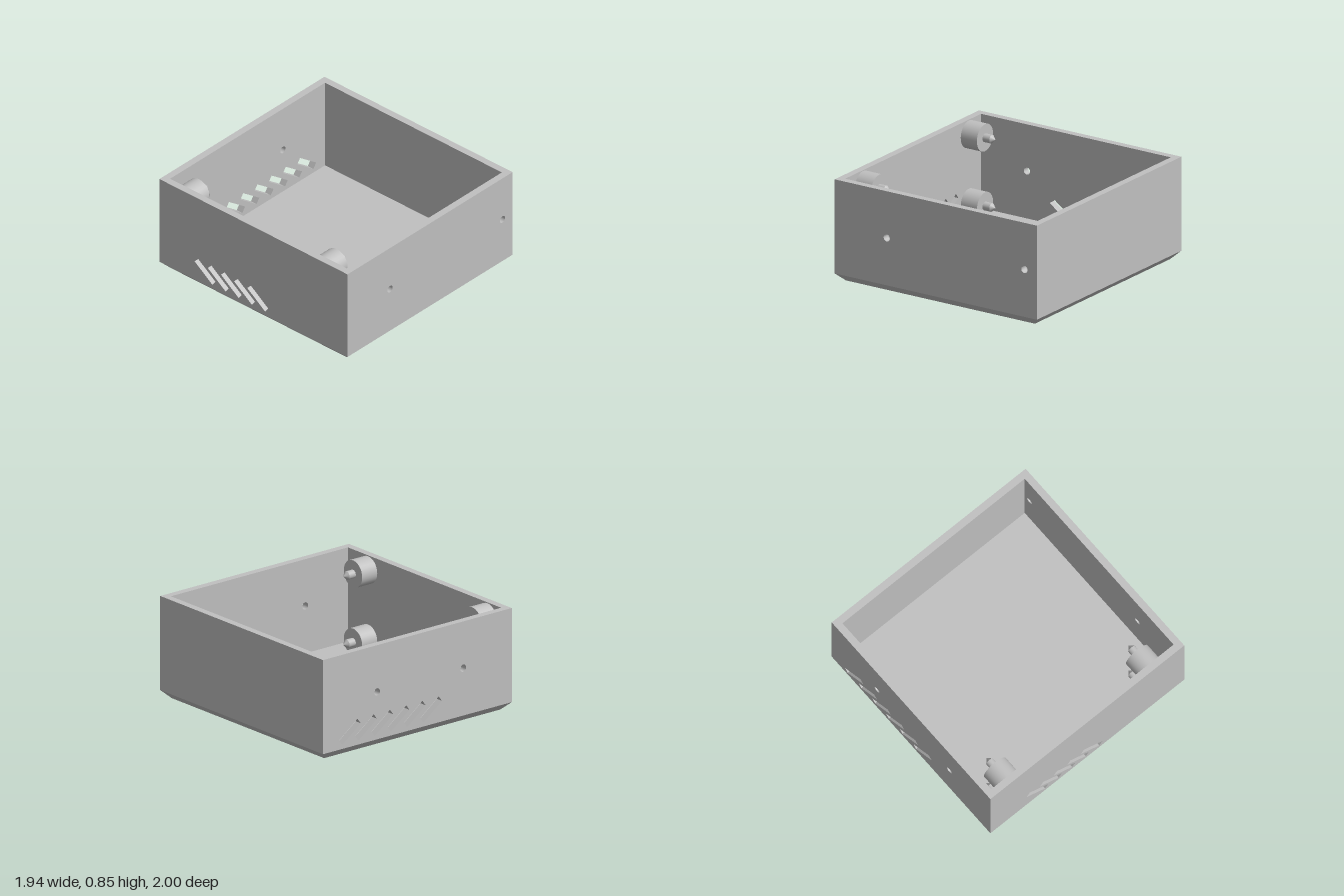
import * as THREE from 'three';

const W = 0.97, D = 1.0, H = 0.85, T = 0.06, BASE = 0.064;

const grey = new THREE.MeshStandardMaterial({ color: 0xc0c0c0 });
grey.name = 'light grey';

function mesh(name, geometry) {
  const m = new THREE.Mesh(geometry, grey);
  m.name = name;
  return m;
}

// round cable hole
function roundHole(x, y) {
  return new THREE.Path().absarc(x, y, 0.03, 0, Math.PI * 2, true);
}

// slanted vent slot, rising towards negative x
function slotHole(x, y) {
  const a = Math.PI - 0.63, L = 0.235 / 2, B = 0.055 / 2;
  const corners = [[-L, -B], [L, -B], [L, B], [-L, B]].map(([u, v]) =>
    new THREE.Vector2(x + u * Math.cos(a) - v * Math.sin(a), y + u * Math.sin(a) + v * Math.cos(a)));
  return new THREE.Path(corners);
}

// upright panel in the xy plane, extruded along z
function wall(name, half, holes = []) {
  const s = new THREE.Shape();
  s.moveTo(-half, BASE).lineTo(half, BASE).lineTo(half, H).lineTo(-half, H).closePath();
  s.holes.push(...holes);
  return mesh(name, new THREE.ExtrudeGeometry(s, { depth: T, bevelEnabled: false, curveSegments: 24 }));
}

// stepped post with a pointed pin, pointing along +x
function mountingPost(y, z) {
  const g = new THREE.Group();
  g.name = 'mountingPost';
  const part = (name, rTop, rBottom, x0, x1) => {
    const m = mesh(name, new THREE.CylinderGeometry(rTop, rBottom, x1 - x0, 32));
    m.rotation.z = -Math.PI / 2;
    m.position.x = (x0 + x1) / 2;
    g.add(m);
  };
  part('postBody', 0.113, 0.113, -0.915, -0.755);
  part('pin', 0.035, 0.035, -0.755, -0.69);
  part('pinTip', 0, 0.035, -0.69, -0.655);
  g.position.set(0, y, z);
  return g;
}

export function createModel() {
  const model = new THREE.Group();
  model.name = 'openEnclosure';

  // base slab with chamfered underside
  const slab = new THREE.BoxGeometry(2 * W, BASE, 2 * D).toNonIndexed();
  const p = slab.attributes.position;
  for (let i = 0; i < p.count; i++) {
    if (p.getY(i) < 0) {
      p.setX(i, p.getX(i) - Math.sign(p.getX(i)) * BASE);
      p.setZ(i, p.getZ(i) - Math.sign(p.getZ(i)) * BASE);
    }
  }
  slab.translate(0, BASE / 2, 0);
  slab.computeVertexNormals();
  model.add(mesh('base', slab));

  // front wall with two holes
  const front = wall('frontWall', W, [roundHole(-0.47, 0.46), roundHole(0.85, 0.46)]);
  front.position.z = D - T;

  // back wall with two holes and six vents
  const backHoles = [roundHole(-0.47, 0.46), roundHole(0.415, 0.46)];
  for (let i = 0; i < 6; i++) backHoles.push(slotHole(-0.14 + i * 0.167, 0.19));
  const back = wall('backWall', W, backHoles);
  back.position.z = -D;

  // side walls fit between front and back; the right one has five vents
  const vents = [];
  for (let i = 0; i < 5; i++) vents.push(slotHole(-0.515 + i * 0.14, 0.19));
  const right = wall('rightWall', D - T, vents);
  right.rotation.y = -Math.PI / 2;
  right.position.x = -W + T;
  const left = wall('leftWall', D - T);
  left.rotation.y = Math.PI / 2;
  left.position.x = W - T;
  model.add(front, back, right, left);

  // four posts inside the right wall
  for (const y of [0.16, 0.73])
    for (const z of [-0.772, 0.693]) model.add(mountingPost(y, z));

  return model;
}
